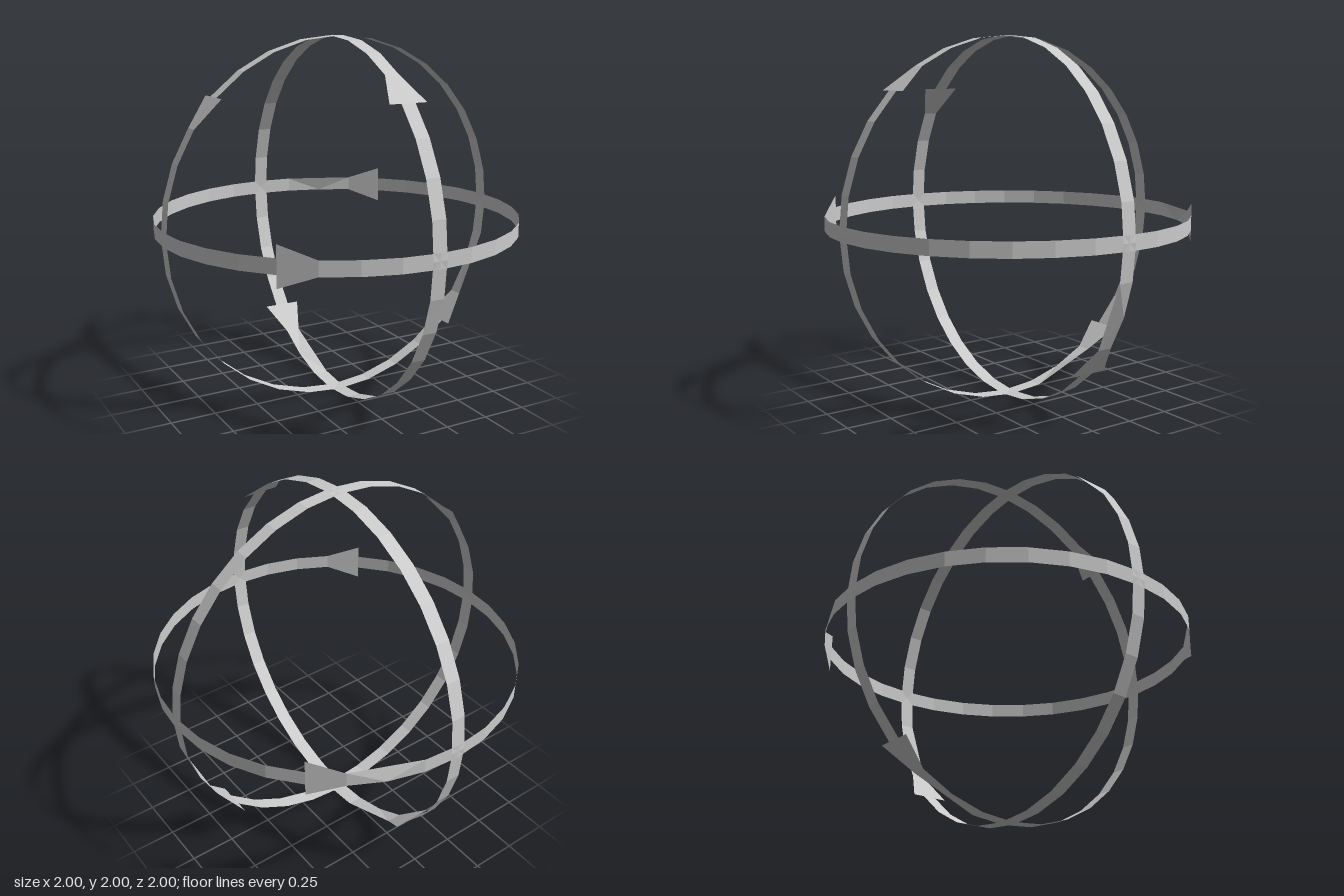
import * as THREE from 'three';

const SEGMENTS = 32;
const BAND = 0.04;   // half width of a band
const HEAD = 0.107;  // half width of an arrowhead base
const HEADS = [12, 28]; // segments widened into arrowheads (135 and 315 degrees)
const CHORD = 29;       // the two segments after the second arrowhead share a straight edge

const X = new THREE.Vector3(1, 0, 0);
const Y = new THREE.Vector3(0, 1, 0);
const Z = new THREE.Vector3(0, 0, 1);

const material = new THREE.MeshStandardMaterial({
  color: 0xcccccc, flatShading: true, side: THREE.DoubleSide,
});

// One ring lies in the plane of u and v; w is the direction across the band.
function makeRing(name, u, v, w) {
  const flipped = u.clone().cross(v).dot(w) < 0;

  const point = (step, across) => {
    const angle = (step / SEGMENTS) * Math.PI * 2;
    return new THREE.Vector3()
      .addScaledVector(u, Math.cos(angle))
      .addScaledVector(v, Math.sin(angle))
      .addScaledVector(w, across);
  };
  const triangle = (list, a, b, c) => list.push(...(flipped ? [a, c, b] : [a, b, c]));

  // Strip piece running from half width h0 to half width h1
  const quad = (list, step, h0, h1) => {
    const a = point(step, -h0), b = point(step + 1, -h1);
    const c = point(step + 1, h1), d = point(step, h0);
    triangle(list, a, b, c);
    triangle(list, a, c, d);
  };
  const toMesh = (list, part) => {
    const geometry = new THREE.BufferGeometry().setFromPoints(list);
    geometry.computeVertexNormals();
    const mesh = new THREE.Mesh(geometry, material);
    mesh.name = part;
    return mesh;
  };

  const ring = new THREE.Group();
  ring.name = name;
  const band = [];
  for (let i = 0; i < SEGMENTS; i++) {
    if (HEADS.includes(i)) {
      // Arrowhead tapering to the band width
      const head = [];
      quad(head, i, HEAD, BAND);
      ring.add(toMesh(head, 'arrowhead'));
    } else if (i === CHORD) {
      // Two segments whose +w edge is one straight chord
      const start = point(i, BAND), end = point(i + 2, BAND), middle = point(i + 1, -BAND);
      triangle(band, point(i, -BAND), middle, start);
      triangle(band, start, middle, end);
      triangle(band, middle, point(i + 2, -BAND), end);
      i++;
    } else {
      quad(band, i, BAND, BAND);
    }
  }
  ring.add(toMesh(band, 'band'));
  ring.position.y = 1;
  return ring;
}

export function createModel() {
  const model = new THREE.Group();
  model.name = 'rotationRings';
  model.add(
    makeRing('frontRing', X, Y, Z),
    makeRing('sideRing', Y.clone().negate(), Z, X),
    makeRing('levelRing', Z.clone().negate(), X.clone().negate(), Y),
  );
  return model;
}
